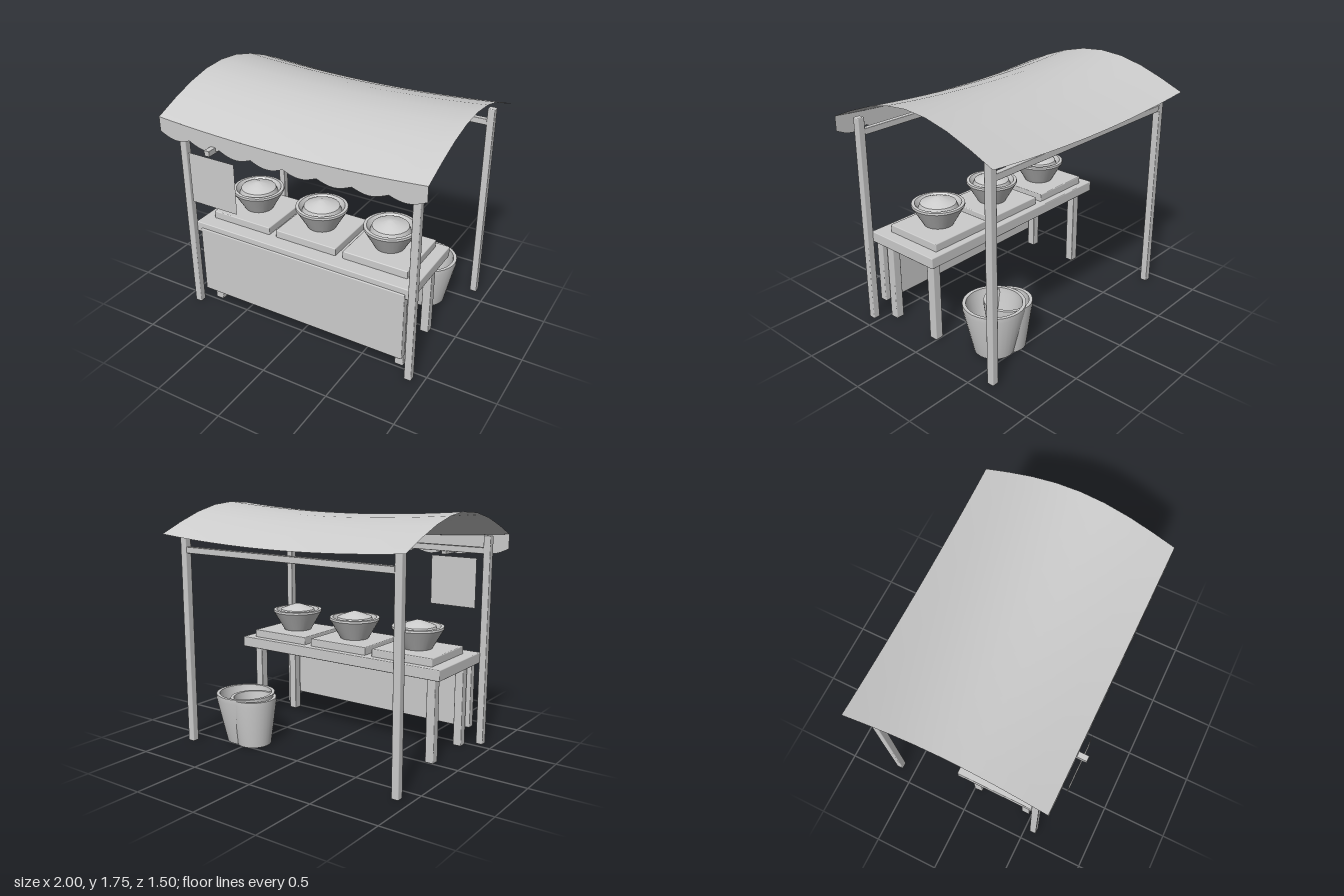
import * as THREE from 'three';
import { toCreasedNormals } from 'three/addons/utils/BufferGeometryUtils.js';
import { RoundedBoxGeometry } from 'three/addons/geometries/RoundedBoxGeometry.js';

const clay = new THREE.MeshStandardMaterial({ color: 0xcccccc });
clay.name = 'plain grey';
const cloth = clay.clone(); // same colour, seen from both sides
cloth.name = 'plain grey cloth';
cloth.side = THREE.DoubleSide;

export function createModel() {
  const stall = new THREE.Group();
  stall.name = 'marketStall';

  const add = (name, geometry, material = clay) => {
    const mesh = new THREE.Mesh(geometry, material);
    mesh.name = name;
    stall.add(mesh);
    return mesh;
  };
  // Softly bevelled box given by its limits on each axis
  const box = (name, [x0, x1], [y0, y1], [z0, z1], bevel = 0.007) =>
    add(name, new RoundedBoxGeometry(x1 - x0, y1 - y0, z1 - z0, 1, bevel))
      .position.set((x0 + x1) / 2, (y0 + y1) / 2, (z0 + z1) / 2);
  const lathe = (name, points, x, y, z) => {
    const profile = points.map(([r, h]) => new THREE.Vector2(r, h));
    const geometry = toCreasedNormals(new THREE.LatheGeometry(profile, 32), 0.6);
    add(name, geometry).position.set(x, y, z);
  };
  // Moves every vertex of a sheet by a rule
  const bend = (geometry, rule) => {
    const p = geometry.attributes.position;
    for (let i = 0; i < p.count; i++) p.setXYZ(i, ...rule(p.getX(i), p.getY(i)));
    geometry.computeVertexNormals();
    return geometry;
  };

  // Canopy: arched front to back, sagging in the middle of its length
  const frontZ = 0.68, depth = 1.425;
  const canopyY = (x, v) => 1.507 + 0.045 * x * x + 0.197 * Math.sin(Math.PI * v);
  add('canopy', bend(new THREE.PlaneGeometry(2, 1, 20, 8), (x, y) => {
    const v = y + 0.5;
    return [x, canopyY(x, v), frontZ - depth * v];
  }), cloth);

  // Scalloped valance along the front edge
  add('valance', bend(new THREE.PlaneGeometry(2, 1, 64, 1), (x, y) => {
    const drop = 0.105 + 0.033 * Math.abs(Math.sin(4 * Math.PI * x));
    return [x, canopyY(x, 0) - (y < 0 ? drop : 0), frontZ];
  }), cloth);

  // Posts and cross beams
  for (const [side, z] of [['front', 0.565], ['back', -0.625]]) {
    for (const x of [-0.895, 0.895])
      box(side + 'Post', [x - 0.027, x + 0.027], [0, 1.545], [z - 0.027, z + 0.027]);
    box(side + 'Beam', [-0.88, 0.88], [1.415, 1.46], [z - 0.02, z + 0.02], 0.004);
  }

  // Hanging sign and its arm
  box('signArm', [-0.57, -0.53], [1.39, 1.43], [0.55, 0.75], 0.002);
  add('signBoard', new THREE.PlaneGeometry(0.375, 0.375), cloth).position.set(-0.5525, 1.17, 0.71);

  // Table with front panel
  box('tableTop', [-0.875, 0.875], [0.62, 0.7], [-0.07, 0.55]);
  box('frontPanel', [-0.83, 0.83], [0.125, 0.657], [0.5, 0.56]);
  for (const x of [-0.775, 0.775])
    for (const z of [0.03, 0.447])
      box('tableLeg', [x - 0.033, x + 0.033], [0, 0.63], [z - 0.033, z + 0.033]);

  // Trays, bowls and heaped goods
  for (const x of [-0.545, 0, 0.545]) {
    box('tray', [x - 0.245, x + 0.245], [0.695, 0.757], [-0.02, 0.44]);
    lathe('bowl', [[0, 0], [0.105, 0], [0.189, 0.145], [0.187, 0.16], [0.165, 0.162],
      [0.155, 0.145], [0.09, 0.03], [0, 0.03]], x, 0.755, 0.208);
    lathe('heap', [[0.145, 0], [0.128, 0.048], [0.07, 0.071], [0.02, 0.088], [0, 0.09]],
      x, 0.87, 0.208);
  }

  // Two overlapping buckets behind the table
  const bucket = (name, bottom, top, height, x, z) => lathe(name, [
    [0, 0], [bottom, 0], [top, height - 0.035], [top, height], [top - 0.024, height],
    [top - 0.028, height - 0.04], [bottom - 0.02, 0.025], [0, 0.025],
  ], x, 0, z);
  bucket('largeBucket', 0.143, 0.217, 0.365, 0.595, -0.363);
  bucket('smallBucket', 0.125, 0.168, 0.355, 0.49, -0.395);

  return stall;
}
